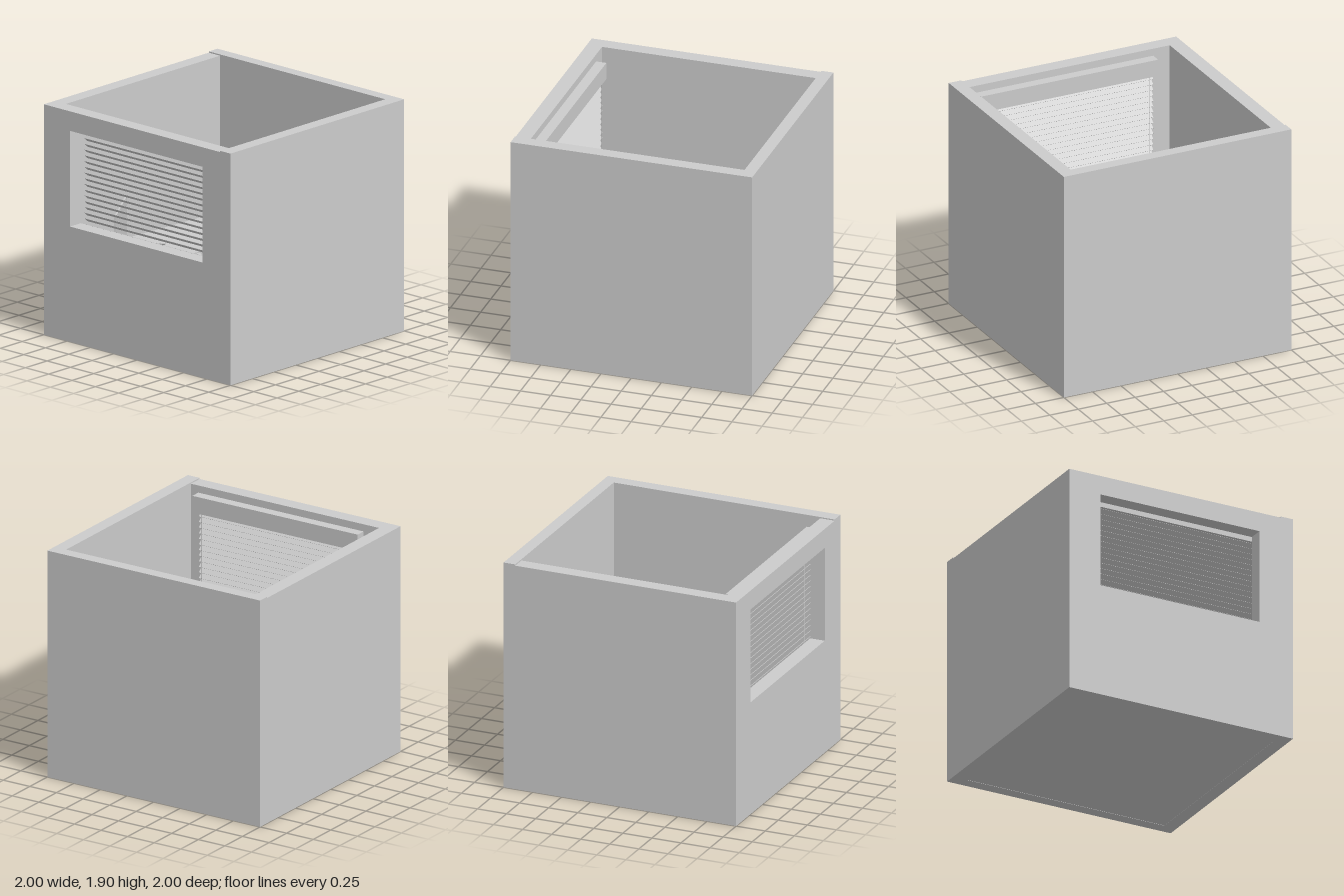
import * as THREE from 'three';

const material = new THREE.MeshStandardMaterial({ color: 0xcccccc, flatShading: true });

function add(parent, name, geometry, x = 0, y = 0, z = 0) {
  const mesh = new THREE.Mesh(geometry, material);
  mesh.name = name;
  mesh.position.set(x, y, z);
  parent.add(mesh);
  return mesh;
}

// Box given by its lower and upper limits on each axis
function block(parent, name, [x0, x1], [y0, y1], [z0, z1]) {
  const geometry = new THREE.BoxGeometry(x1 - x0, y1 - y0, z1 - z0);
  return add(parent, name, geometry, (x0 + x1) / 2, (y0 + y1) / 2, (z0 + z1) / 2);
}

function group(parent, name, x = 0, y = 0, z = 0, turn = 0) {
  const g = new THREE.Group();
  g.name = name;
  g.position.set(x, y, z);
  g.rotation.y = turn;
  parent.add(g);
  return g;
}

function buildRoom(model) {
  const room = group(model, 'room');
  block(room, 'floor', [-0.9, 0.9], [0.002, 0.02], [-0.92, 0.9]);
  block(room, 'backWall', [-1, 1], [0, 1.9], [-1, -0.9]);
  block(room, 'leftWall', [0.89, 1], [0, 1.9], [-0.9, 1]);
  block(room, 'rightWall', [-1, -0.88], [0, 1.89], [-0.9, 0.875]);

  // Front wall with the window opening
  const wall = new THREE.Shape([[-1, 0], [0.89, 0], [0.89, 1.89], [-1, 1.89]].map(p => new THREE.Vector2(...p)));
  wall.holes.push(new THREE.Path([[-0.72, 0.945], [-0.72, 1.73], [0.7, 1.73], [0.7, 0.945]].map(p => new THREE.Vector2(...p))));
  add(room, 'frontWall', new THREE.ExtrudeGeometry(wall, { depth: 0.125, bevelEnabled: false }), 0, 0, 0.875);
}

function buildBlind(model) {
  const blind = group(model, 'windowBlind');
  block(blind, 'headRail', [-0.735, 0.82], [1.69, 1.83], [0.79, 0.875]);
  const slat = new THREE.BoxGeometry(1.48, 0.003, 0.046);
  for (let i = 0; i < 17; i++) {
    add(blind, 'slat', slat, 0.035, 1.673 - i * 0.047, 0.832).rotation.x = -0.72;
  }
  block(blind, 'bottomRail', [-0.705, 0.775], [0.86, 0.885], [0.815, 0.85]);
  for (const x of [-0.67, 0.74]) {
    add(blind, 'cord', new THREE.CylinderGeometry(0.002, 0.002, 0.82, 6), x, 1.28, 0.805);
  }
}

function buildDesk(model) {
  const desk = group(model, 'desk');
  // Tabletop outline, drawn with y standing for z
  const top = new THREE.Shape();
  top.moveTo(-0.83, -0.705);
  top.lineTo(-0.2, -0.675);
  top.quadraticCurveTo(-0.13, -0.67, -0.13, -0.6);
  top.lineTo(-0.152, -0.1);
  top.bezierCurveTo(-0.16, -0.07, -0.21, -0.05, -0.21, 0.02);
  top.lineTo(-0.23, 0.36);
  top.bezierCurveTo(-0.23, 0.43, -0.2, 0.45, -0.182, 0.48);
  top.lineTo(-0.19, 0.67);
  top.quadraticCurveTo(-0.2, 0.745, -0.265, 0.745);
  top.lineTo(-0.905, 0.715);
  const slab = new THREE.ExtrudeGeometry(top, { depth: 0.025, bevelEnabled: false, curveSegments: 8 });
  add(desk, 'tabletop', slab, 0, 0.635, 0).rotation.x = Math.PI / 2;

  // Straight rail below the cut-out, legs and feet
  const frame = group(desk, 'deskFrame', -0.5, 0, 0.02, -0.035 - Math.PI);
  frame.rotation.y = -0.035;
  block(frame, 'frontRail', [0.29, 0.32], [0.57, 0.605], [-0.1, 0.45]);
  block(frame, 'rearPanel', [-0.3, -0.28], [0.3, 0.61], [-0.6, 0.6]);
  for (const z of [-0.6, 0.6]) {
    block(frame, 'leg', [-0.06, 0.02], [0.05, 0.61], [z - 0.02, z + 0.02]);
    block(frame, 'foot', [-0.3, 0.26], [0.02, 0.05], [z - 0.03, z + 0.03]);
    block(frame, 'topSupport', [-0.3, 0.26], [0.58, 0.61], [z - 0.02, z + 0.02]);
  }
}

function buildMonitor(model) {
  const monitor = group(model, 'monitor', -0.678, 0.635, 0.463, -0.977);
  block(monitor, 'screen', [-0.28, 0.28], [0.05, 0.365], [-0.0075, 0.0075]);
  block(monitor, 'mount', [-0.025, 0.025], [0.16, 0.22], [0.0075, 0.03]);
  block(monitor, 'stand', [-0.02, 0.02], [0, 0.22], [0.02, 0.035]);
  block(monitor, 'standBase', [-0.065, 0.065], [0, 0.008], [-0.05, 0.07]);
}

function buildDeskObject(model) {
  const object = group(model, 'smallDeskDevice', -0.56, 0.65, 0.14, 0.6);
  add(object, 'body', new THREE.CylinderGeometry(0.013, 0.013, 0.045, 10), 0.022, 0, 0).rotation.z = Math.PI / 2;
  add(object, 'neck', new THREE.CylinderGeometry(0.007, 0.007, 0.03, 8), -0.014, -0.003, 0).rotation.z = Math.PI / 2;
  add(object, 'tip', new THREE.CylinderGeometry(0.012, 0.012, 0.018, 10), -0.036, -0.003, 0).rotation.z = Math.PI / 2;
}

function buildChair(model) {
  // The chair looks along its own +z, with its back edge at the origin
  const chair = group(model, 'officeChair', 0.205, 0, 0.18, -2.165);
  block(chair, 'seat', [-0.175, 0.175], [0.39, 0.435], [0.11, 0.44]);
  block(chair, 'seatPlate', [-0.08, 0.08], [0.36, 0.39], [0.18, 0.38]);

  // Reclined backrest made of two panels on two uprights
  const back = group(chair, 'backrest', 0, 0.42, 0.23);
  back.rotation.x = -0.4;
  block(back, 'lowerPanel', [-0.17, 0.17], [0.05, 0.285], [-0.025, 0]);
  block(back, 'upperPanel', [-0.17, 0.17], [0.32, 0.56], [-0.025, 0]);
  for (const x of [-0.1, 0.1]) {
    block(back, 'upright', [x - 0.012, x + 0.012], [-0.03, 0.52], [-0.04, -0.02]);
  }

  // Armrests
  for (const s of [-1, 1]) {
    const x = s * 0.145;
    block(chair, 'armPad', [x - 0.016, x + 0.016], [0.61, 0.63], [0.2, 0.4]);
    for (const z of [0.24, 0.36]) {
      block(chair, 'armPost', [x - 0.009, x + 0.009], [0.43, 0.61], [z - 0.009, z + 0.009]);
    }
  }

  // Column and five-legged base on castors
  const base = group(chair, 'base', 0, 0, 0.28);
  add(base, 'column', new THREE.CylinderGeometry(0.022, 0.028, 0.3, 12), 0, 0.21, 0);
  for (let i = 0; i < 5; i++) {
    const spoke = group(base, 'baseLeg', 0, 0, 0, Math.PI + 0.28 + i * Math.PI * 0.4);
    block(spoke, 'spoke', [0, 0.25], [0.06, 0.085], [-0.013, 0.013]);
    add(spoke, 'castor', new THREE.CylinderGeometry(0.022, 0.022, 0.025, 12), 0.23, 0.042, 0).rotation.x = Math.PI / 2;
  }
}

export function createModel() {
  const model = new THREE.Group();
  model.name = 'officeRoom';
  buildRoom(model);
  buildBlind(model);
  buildDesk(model);
  buildMonitor(model);
  buildDeskObject(model);
  buildChair(model);
  return model;
}
